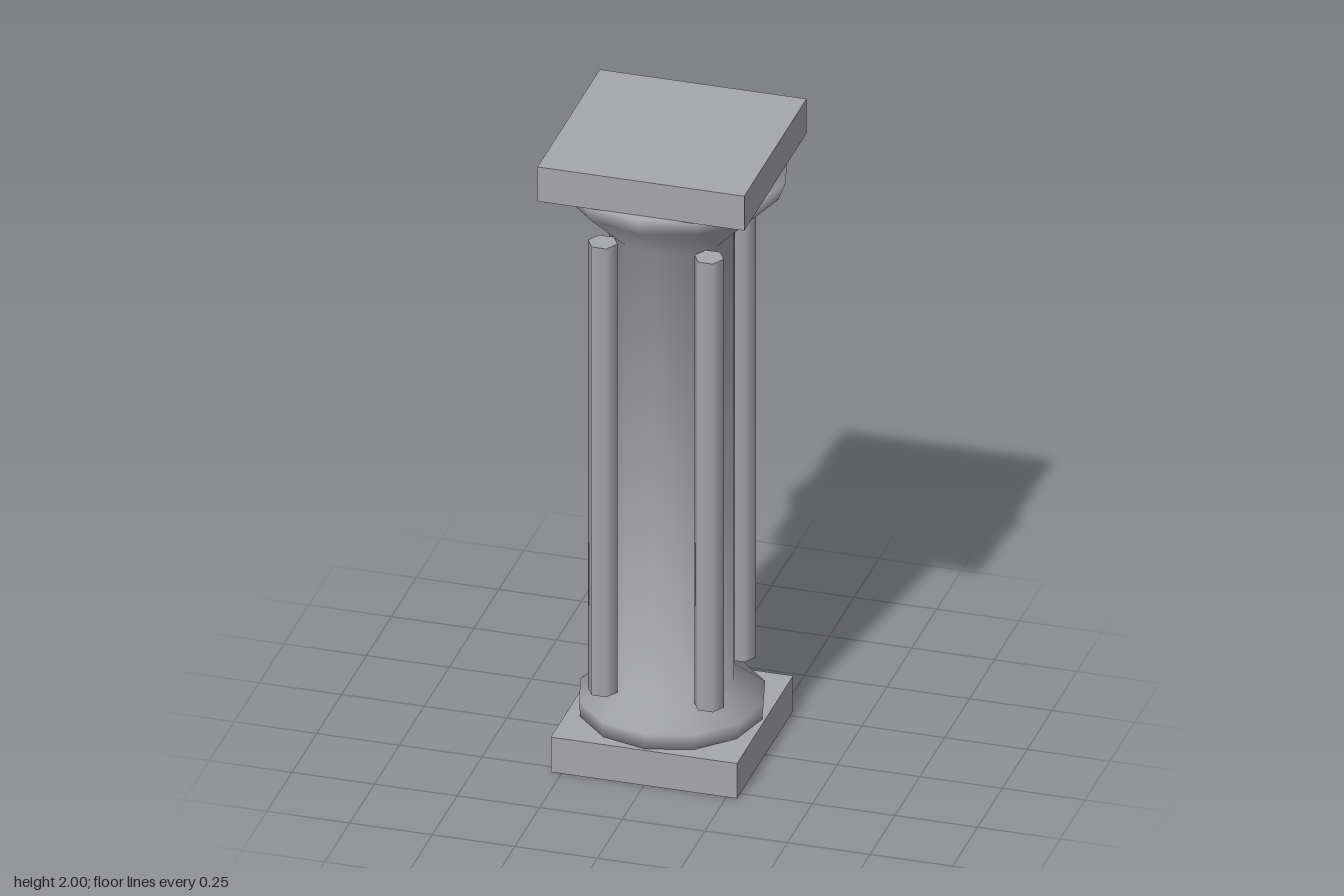
import * as THREE from 'three';

// Lathe whose normals weigh both neighbouring bands equally, so shading flows along the whole profile
function softLathe(points, sides) {
  const geometry = new THREE.LatheGeometry(points, sides);
  const bands = points.slice(1).map((p, i) =>
    new THREE.Vector2(p.y - points[i].y, points[i].x - p.x).normalize());
  const tilts = points.map((p, i) => {
    const n = new THREE.Vector2();
    if (i > 0) n.add(bands[i - 1]);
    if (i < bands.length) n.add(bands[i]);
    return n.normalize();
  });
  const normal = geometry.attributes.normal;
  for (let s = 0; s <= sides; s++) {
    const angle = (s / sides) * Math.PI * 2;
    tilts.forEach((n, i) => normal.setXYZ(
      s * points.length + i, n.x * Math.sin(angle), n.y, n.x * Math.cos(angle)));
  }
  return geometry;
}

export function createModel() {
  const model = new THREE.Group();
  const material = new THREE.MeshStandardMaterial({ color: 0xa5a6aa });

  function add(name, geometry, x, y, z) {
    const mesh = new THREE.Mesh(geometry, material);
    mesh.name = name;
    mesh.position.set(x, y, z);
    model.add(mesh);
  }

  // Square slabs below and above the column
  add('plinth', new THREE.BoxGeometry(0.564, 0.115, 0.564), 0, 0.0575, 0);
  add('abacus', new THREE.BoxGeometry(0.626, 0.113, 0.626), 0, 1.9435, 0);

  // Twelve-sided smooth column: base moulding, shaft and flared capital
  const profile = [
    [0, 0.113], [0.273, 0.113], [0.277, 0.165], [0.188, 0.231],
    [0.188, 1.7], [0.322, 1.83], [0.344, 1.888], [0, 1.888],
  ].map(([r, y]) => new THREE.Vector2(r, y));
  add('column', softLathe(profile, 12), 0, 0, 0);

  // Four slim hexagonal rods around the shaft
  const rod = new THREE.CylinderGeometry(0.0445, 0.0445, 1.473, 6);
  rod.rotateY(Math.PI / 2);
  for (const x of [-1, 1]) {
    for (const z of [-1, 1]) {
      const name = (z > 0 ? 'front' : 'back') + (x > 0 ? 'Left' : 'Right') + 'Rod';
      add(name, rod, 0.161 * x, 0.9625, 0.161 * z);
    }
  }

  return model;
}
